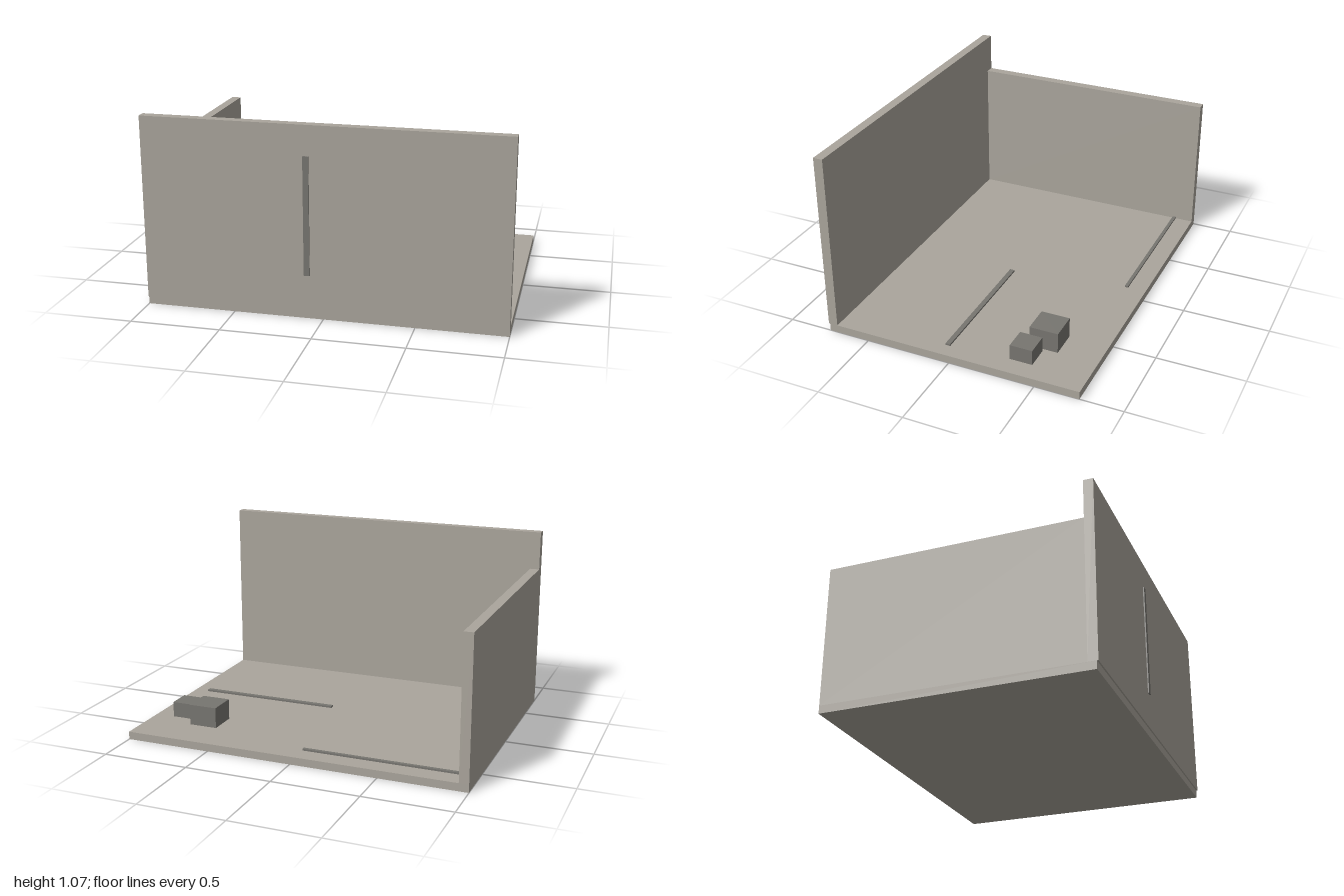
import * as THREE from 'three';

const plaster = new THREE.MeshStandardMaterial({ color: 0xaaa59c });
const dark = new THREE.MeshStandardMaterial({ color: 0x777570 });

// Box given by its extents along each axis
function block(name, [x0, x1], [y0, y1], [z0, z1], material) {
  const mesh = new THREE.Mesh(new THREE.BoxGeometry(x1 - x0, y1 - y0, z1 - z0), material);
  mesh.position.set((x0 + x1) / 2, (y0 + y1) / 2, (z0 + z1) / 2);
  mesh.name = name;
  return mesh;
}

export function createModel() {
  const group = new THREE.Group();
  group.name = 'roomCorner';
  const floorTop = 0.045;

  group.add(
    // Floor slab and two walls; the front wall overhangs the slab slightly
    block('floor', [-1, 1], [0, floorTop], [-0.756, 0.744], plaster),
    block('frontWall', [-1, 1], [floorTop, 1.075], [0.697, 0.752], plaster),
    block('sideWall', [-1, -0.945], [floorTop, 0.85], [-0.756, 0.697], plaster),

    // Thin cracks on the wall and floor
    block('wallCrack', [-0.102, -0.07], [0.249, 0.908], [0.745, 0.759], dark),
    block('floorCrackFront', [0.08, 0.915], [floorTop, 0.055], [0.034, 0.062], dark),
    block('floorCrackBack', [-0.945, -0.03], [floorTop, 0.055], [-0.649, -0.629], dark),

    // Rubble blocks in the back corner
    block('largeRubble', [0.567, 0.733], [floorTop, 0.165], [-0.522, -0.355], dark),
    block('smallRubble', [0.754, 0.888], [floorTop, 0.134], [-0.441, -0.31], dark),
  );
  return group;
}
